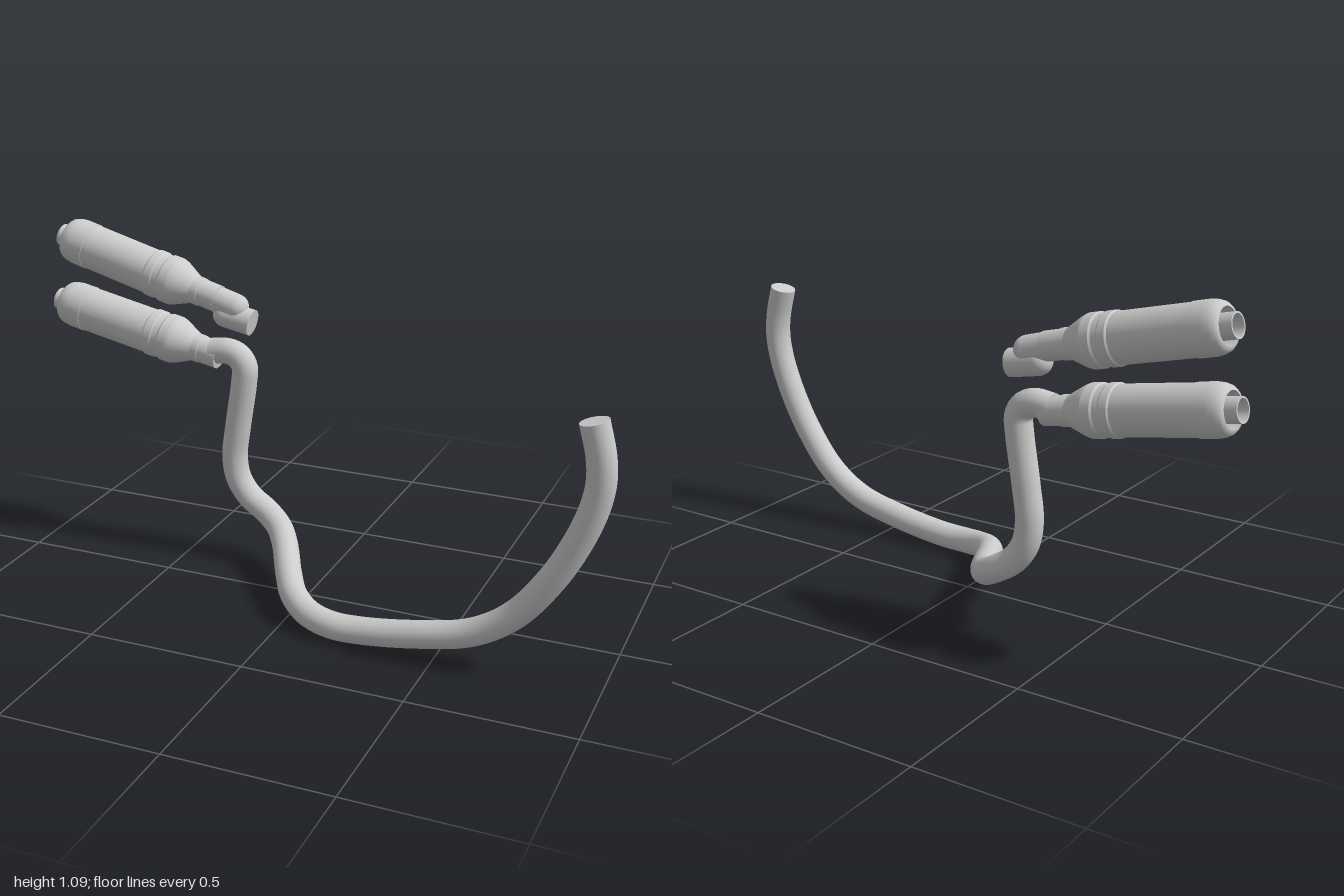
import * as THREE from 'three';

const steel = new THREE.MeshStandardMaterial({ color: 0xcccccc, side: THREE.DoubleSide });
steel.name = 'brushed steel';
const PIPE_R = 0.042;

const V = (p) => new THREE.Vector3(...p);

function add(group, geometry, name) {
  const mesh = new THREE.Mesh(geometry, steel);
  mesh.name = name;
  group.add(mesh);
  return mesh;
}

// Round pipe along a smooth path, closed with flat discs
function pipe(name, points, segments) {
  const group = new THREE.Group();
  group.name = name;
  const curve = new THREE.CatmullRomCurve3(points.map(V), false, 'centripetal');
  add(group, new THREE.TubeGeometry(curve, segments, PIPE_R, 32), name + 'Wall');
  for (const [t, sign] of [[0, -1], [1, 1]]) {
    const disc = add(group, new THREE.CircleGeometry(PIPE_R, 32), name + 'End');
    disc.position.copy(curve.getPoint(t));
    disc.quaternion.setFromUnitVectors(new THREE.Vector3(0, 0, 1), curve.getTangent(t).multiplyScalar(sign));
  }
  return group;
}

// Silencer sections: [radius, distance from the outlet tip]; each is one smooth run
const SECTIONS = {
  outletTube: [[0.031, 0.12], [0.031, 0], [0.036, 0], [0.036, 0.12]],
  endRecess: [[0.031, 0.09], [0.05, 0.09], [0.052, 0.028]],
  endCap: [[0.052, 0.028], [0.06, 0.03], [0.067, 0.038], [0.072, 0.052], [0.075, 0.072], [0.075, 0.122]],
  endCapLip: [[0.075, 0.122], [0.073, 0.123]],
  body: [[0.073, 0.123], [0.073, 0.365]],
  rearBand: [[0.073, 0.365], [0.077, 0.37], [0.077, 0.395], [0.074, 0.4]],
  groove: [[0.074, 0.4], [0.074, 0.418]],
  frontBand: [[0.074, 0.418], [0.078, 0.424], [0.078, 0.455], [0.074, 0.468]],
  cone: [[0.074, 0.468], [0.068, 0.482], [0.055, 0.51], [0.048, 0.525]],
  inletCollar: [[0.048, 0.525], [0.046, 0.53], [0.046, 0.555]],
  inletPipe: [[0.046, 0.555], [0.0435, 0.557], [0.0435, 0.62], [0, 0.62]],
};

// Silencer whose axis runs from the outlet tip towards the inlet
function silencer(name, tip, inlet, lengthScale) {
  const group = new THREE.Group();
  group.name = name;
  for (const [part, profile] of Object.entries(SECTIONS)) {
    // separate lathes for each straight run keep the edges crisp
    const smooth = part === 'endCap' || part === 'cone';
    const runs = smooth ? [profile] : profile.slice(1).map((p, i) => [profile[i], p]);
    for (const run of runs) {
      const pts = run.map(([r, s]) => new THREE.Vector2(r, s));
      add(group, new THREE.LatheGeometry(pts, 48), part);
    }
  }
  const axis = V(inlet).sub(V(tip)).normalize();
  group.quaternion.setFromUnitVectors(new THREE.Vector3(0, 1, 0), axis);
  group.position.copy(V(tip));
  group.scale.y = lengthScale;
  return group;
}

export function createModel() {
  const model = new THREE.Group();
  model.name = 'exhaust';

  // Long header pipe, from its open end round to the lower silencer
  model.add(pipe('headerPipe', [
    [0.925, 0.81, 0.237], [0.95, 0.71, 0.237], [0.955, 0.64, 0.237], [0.942, 0.56, 0.237],
    [0.9, 0.445, 0.237], [0.83, 0.315, 0.237], [0.73, 0.19, 0.237], [0.61, 0.113, 0.237],
    [0.435, 0.07, 0.237], [0.26, 0.047, 0.237], [0.17, 0.046, 0.234], [0.09, 0.056, 0.21],
    [0.02, 0.075, 0.155], [-0.04, 0.094, 0.06], [-0.115, 0.125, -0.08],
    [-0.165, 0.148, -0.148], [-0.22, 0.18, -0.178], [-0.285, 0.225, -0.182],
    [-0.325, 0.285, -0.182], [-0.337, 0.36, -0.182], [-0.325, 0.46, -0.182],
    [-0.3, 0.62, -0.182], [-0.297, 0.67, -0.182], [-0.315, 0.702, -0.182],
    [-0.35, 0.717, -0.182], [-0.41, 0.712, -0.183],
  ], 240));

  // Short elbow and stub feeding the upper silencer
  model.add(pipe('upperElbow', [[-0.42, 0.894, -0.183], [-0.37, 0.881, -0.182], [-0.325, 0.868, -0.182]], 16));
  model.add(pipe('upperStub', [[-0.36, 0.84, -0.182], [-0.268, 0.822, -0.182]], 8));
  for (const [name, p] of [['elbowBend', [-0.325, 0.868, -0.182]], ['stubBend', [-0.36, 0.84, -0.182]]]) {
    add(model, new THREE.SphereGeometry(PIPE_R, 32, 20), name).position.copy(V(p));
  }

  // Twin silencers
  model.add(silencer('lowerSilencer', [-0.993, 0.814, -0.214], [-0.39, 0.7, -0.182], 1));
  model.add(silencer('upperSilencer', [-0.967, 1.034, -0.214], [-0.39, 0.888, -0.182], 0.97));
  return model;
}
